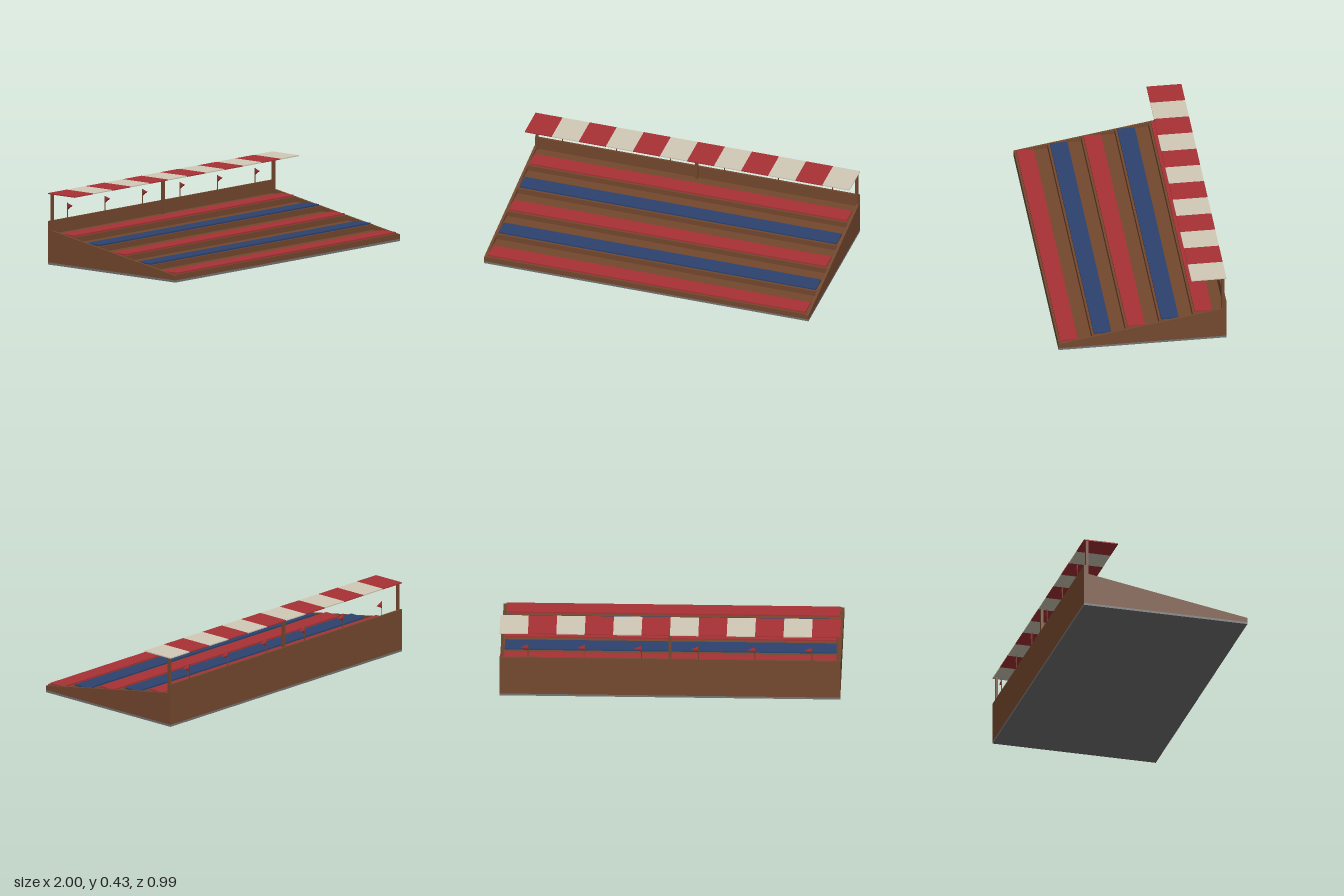
import * as THREE from 'three';

export function createModel() {
  const group = new THREE.Group();
  group.name = 'grandstand';
  const mat = (name, color) => {
    const m = new THREE.MeshStandardMaterial({ color });
    m.name = name;
    return m;
  };
  const wood = mat('brown wood', 0x74482e);
  const red = mat('red', 0xa83236);
  const blue = mat('blue', 0x2c426e);
  const cream = mat('cream', 0xd2cab7);
  const stone = mat('grey stone', 0x747474);

  const add = (name, geometry, material) => {
    const mesh = new THREE.Mesh(geometry, material);
    mesh.name = name;
    group.add(mesh);
    return mesh;
  };
  // Box given by its lower and upper limits on each axis
  const box = (name, material, x0, x1, y0, y1, z0, z1) => {
    const mesh = add(name, new THREE.BoxGeometry(x1 - x0, y1 - y0, z1 - z0), material);
    mesh.position.set((x0 + x1) / 2, (y0 + y1) / 2, (z0 + z1) / 2);
    return mesh;
  };

  const back = -0.497, front = 0.497, baseTop = 0.013;
  box('base', stone, -1, 1, 0, baseTop, back, front);

  // Five rising tiers, each with a long seat cushion
  for (let i = 0; i < 5; i++) {
    const z1 = front - i * 0.199;
    const z0 = i === 4 ? -0.485 : z1 - 0.199;
    const top = 0.046 + i * 0.0337;
    box('tier', wood, -0.985, 0.985, baseTop, top, z0, z1);
    box('seat', i % 2 ? blue : red, -0.977, 0.977, top, top + 0.009, z1 - 0.117, z1 - 0.013);
  }

  // Sloping side walls
  const side = new THREE.Shape();
  side.moveTo(front, baseTop);
  side.lineTo(front, 0.04);
  side.lineTo(-0.47, 0.204);
  side.lineTo(-0.485, 0.204);
  side.lineTo(-0.485, baseTop);
  const sideGeometry = new THREE.ExtrudeGeometry(side, { depth: 0.015, bevelEnabled: false });
  sideGeometry.rotateY(-Math.PI / 2);
  for (const x of [-0.985, 1]) add('sideWall', sideGeometry, wood).position.x = x;

  box('backWall', wood, -1, 1, baseTop, 0.259, back, -0.485);

  // Canopy posts and striped canopy
  for (const x of [-0.985, 0, 0.985]) {
    box('canopyPost', wood, x - 0.008, x + 0.008, 0.18, 0.419, -0.485, -0.469);
  }
  for (let i = 0; i < 12; i++) {
    const x = -1 + i / 6;
    box('canopyStripe', i % 2 ? cream : red, x, x + 1 / 6, 0.419, 0.425, back, -0.29);
  }

  // Pennants on poles along the back wall
  const pennant = new THREE.ConeGeometry(0.021, 0.045, 4);
  pennant.scale(1, 1, 0.15);
  pennant.rotateZ(-Math.PI / 2);
  const pole = new THREE.CylinderGeometry(0.003, 0.003, 0.09, 6);
  for (let i = 0; i < 6; i++) {
    const x = -5 / 6 + i / 3;
    add('flagPole', pole, wood).position.set(x, 0.302, -0.49);
    add('pennant', pennant, red).position.set(x + 0.0225, 0.325, -0.49);
  }
  return group;
}
